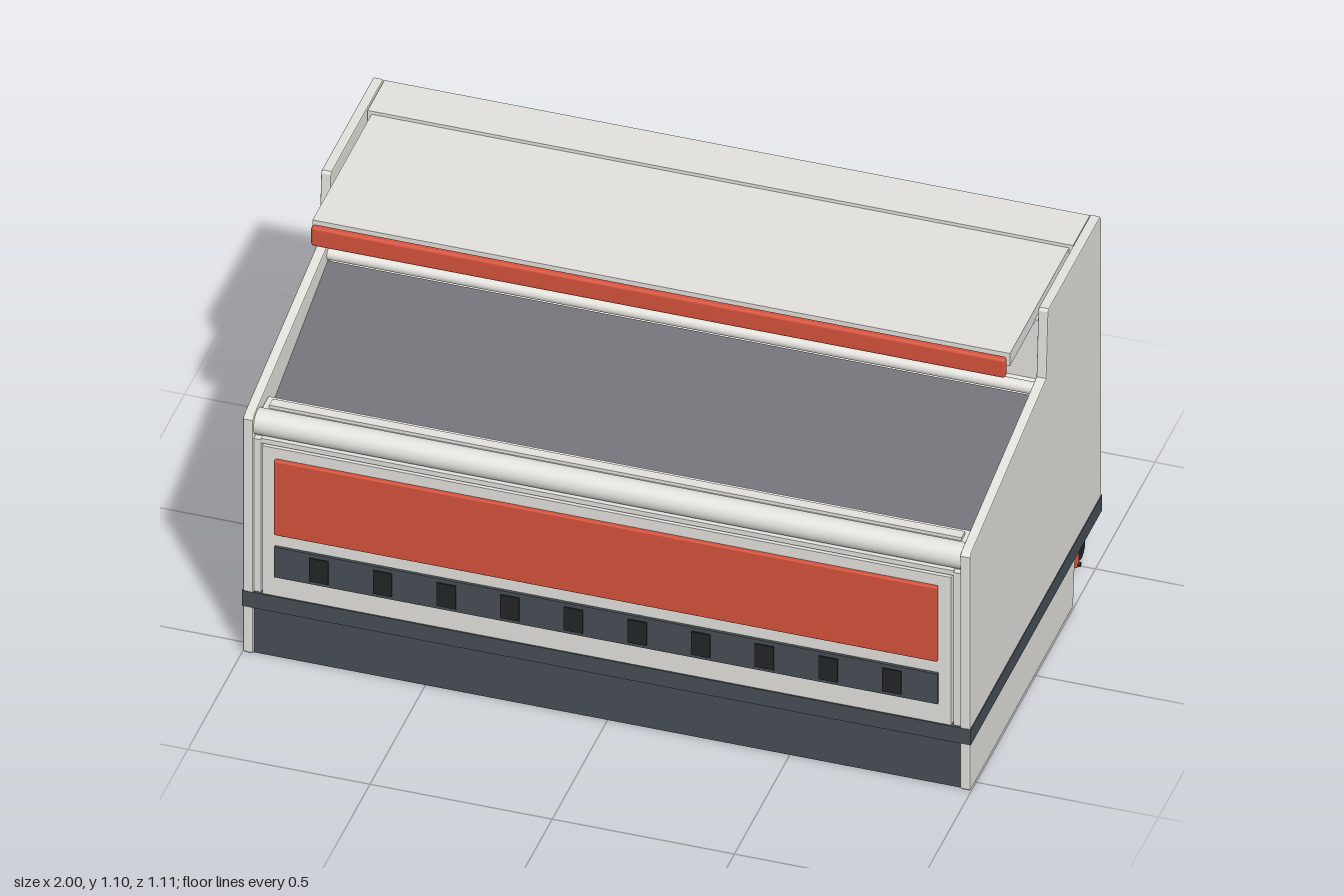
import * as THREE from 'three';
import { RoundedBoxGeometry } from 'three/addons/geometries/RoundedBoxGeometry.js';

const mat = (name, color, side = THREE.FrontSide) => {
  const m = new THREE.MeshStandardMaterial({ color, side });
  m.name = name;
  return m;
};

export function createModel() {
  const white = mat('warm white', 0xe3e1dc);
  const orange = mat('orange red', 0xd4513b);
  const slate = mat('slate', 0x464e54);
  const black = mat('black', 0x222426);
  const underGrey = mat('underside charcoal', 0x303336);
  const deckGrey = mat('deck grey', 0x727177);
  const pipeWhite = mat('pipe white', 0xe3e1dc, THREE.DoubleSide);

  const model = new THREE.Group();
  model.name = 'displayCounter';

  const add = (name, geo, material, x = 0, y = 0, z = 0) => {
    const mesh = new THREE.Mesh(geo, material);
    mesh.name = name;
    mesh.position.set(x, y, z);
    model.add(mesh);
    return mesh;
  };
  // box given by its limits on each axis
  const box = (name, material, x0, x1, y0, y1, z0, z1) =>
    add(name, new THREE.BoxGeometry(x1 - x0, y1 - y0, z1 - z0), material,
      (x0 + x1) / 2, (y0 + y1) / 2, (z0 + z1) / 2);
  const rounded = (name, material, r, x0, x1, y0, y1, z0, z1) =>
    add(name, new RoundedBoxGeometry(x1 - x0, y1 - y0, z1 - z0, 3, r), material,
      (x0 + x1) / 2, (y0 + y1) / 2, (z0 + z1) / 2);
  // rod running along x
  const rod = (name, material, r, x0, x1, y, z) =>
    add(name, new THREE.CylinderGeometry(r, r, x1 - x0, 24).rotateZ(Math.PI / 2),
      material, (x0 + x1) / 2, y, z);
  // (z, y) profile extruded along x from x0 to x1
  const profile = (points, x0, x1, bevel = 0) => {
    const shape = new THREE.Shape(points.map(([z, y]) => new THREE.Vector2(z, y)));
    return new THREE.ExtrudeGeometry(shape, {
      depth: x1 - x0 - 2 * bevel, bevelEnabled: bevel > 0, bevelSize: bevel,
      bevelThickness: bevel, bevelOffset: -bevel, bevelSegments: 2,
    }).rotateY(-Math.PI / 2).translate(x1 - bevel, 0, 0);
  };

  // Cabinet body with a sunken deck well and the hood at the back
  add('cabinetBody', profile([
    [-0.552, 0.19], [0.52, 0.19], [0.52, 0.71], [0.5, 0.745], [0.42, 0.745],
    [0.42, 0.67], [-0.09, 0.825], [-0.125, 0.86], [-0.125, 1.05], [-0.41, 1.05],
    [-0.41, 1.095], [-0.552, 1.095],
  ], -0.968, 0.968), white);

  // End panels with sloped front and rear foot cutout
  const side = [
    [0.54, 0], [0.545, 0.008], [0.545, 0.752], [0.535, 0.762], [-0.095, 0.89],
    [-0.11, 1.092], [-0.116, 1.1], [-0.548, 1.1], [-0.555, 1.093],
    [-0.555, 0.152], [-0.345, 0.145], [-0.335, 0.135], [-0.322, 0.008], [-0.314, 0],
  ];
  add('leftEndPanel', profile(side, 0.97, 0.998, 0.004), white);
  add('rightEndPanel', profile(side, -0.998, -0.97, 0.004), white);

  // Bumper band and plinth
  box('bumperBand', slate, -1, 1, 0.15, 0.2, -0.556, 0.546);
  box('underside', underGrey, -0.95, 0.95, 0.146, 0.151, -0.5, 0.51);
  box('frontKickPlate', slate, -0.97, 0.97, 0, 0.15, 0.515, 0.535);
  for (const s of [-1, 1]) {
    const a = s * 0.95, b = s * 0.972;
    box('plinthSide', slate, Math.min(a, b), Math.max(a, b), 0.002, 0.15, -0.31, 0.52);
  }
  rounded('rearKickPlate', slate, 0.006, -0.71, 0.45, 0, 0.155, -0.555, -0.537);

  // Sloped display deck and its rails
  const deckRise = 0.155, deckRun = 0.505;
  const deck = add('displayDeck',
    new THREE.BoxGeometry(1.94, 0.012, Math.hypot(deckRun, deckRise)),
    deckGrey, 0, 0.753, 0.168);
  deck.rotation.x = Math.atan2(deckRise, deckRun);
  rod('rearDeckRail', white, 0.017, -0.97, 0.97, 0.855, -0.09);
  rod('frontRail', white, 0.036, -0.97, 0.97, 0.725, 0.505);
  box('frontDeckTrim', white, -0.95, 0.95, 0.74, 0.755, 0.44, 0.47);

  // Front panel, surrounding trim and colour plates
  for (const s of [-1, 1])
    box('frontSideTrim', white, s * 0.96 - 0.01, s * 0.96 + 0.01, 0.2, 0.69, 0.51, 0.538);
  box('frontTopTrim', white, -0.95, 0.95, 0.68, 0.695, 0.51, 0.538);
  box('frontPanel', white, -0.945, 0.945, 0.2, 0.675, 0.51, 0.542);
  rounded('frontColourPanel', orange, 0.004, -0.91, 0.91, 0.403, 0.642, 0.54, 0.555);
  box('ventStrip', slate, -0.91, 0.91, 0.265, 0.362, 0.541, 0.55);
  for (let i = 0; i < 10; i++) {
    const x = -0.787 + i * 0.1747;
    box('ventSlot', black, x - 0.026, x + 0.026, 0.276, 0.35, 0.545, 0.554);
  }

  // Stepped canopy with coloured edge
  box('canopyTop', white, -0.957, 0.957, 1.045, 1.085, -0.41, 0.085);
  box('canopyEdgeTongue', white, -0.945, 0.945, 1.057, 1.07, 0.08, 0.1);
  box('canopyUnderside', white, -0.945, 0.945, 1.022, 1.045, -0.13, 0.055);
  rounded('canopyEdge', orange, 0.009, -0.953, 0.953, 1.022, 1.083, 0.094, 0.116);

  // Drain trap under the right rear corner
  const drain = new THREE.CurvePath();
  const v = (y, z) => new THREE.Vector3(-0.86, y, z);
  const segment = (...p) => drain.add(p.length === 2
    ? new THREE.LineCurve3(...p) : new THREE.CubicBezierCurve3(...p));
  segment(v(0.148, -0.353), v(0.07, -0.353));
  segment(v(0.07, -0.353), v(0.022, -0.353), v(0.022, -0.412), v(0.065, -0.412));
  segment(v(0.065, -0.412), v(0.095, -0.412), v(0.103, -0.425), v(0.103, -0.45));
  segment(v(0.103, -0.45), v(0.103, -0.545));
  add('drainTrap', new THREE.TubeGeometry(drain, 60, 0.026, 16), pipeWhite);
  add('drainCollar', new THREE.CylinderGeometry(0.031, 0.031, 0.027, 20), slate, -0.86, 0.118, -0.353);
  add('outletCollar', new THREE.CylinderGeometry(0.037, 0.037, 0.03, 20).rotateX(Math.PI / 2),
    slate, -0.86, 0.103, -0.53);
  add('outletOpening', new THREE.CylinderGeometry(0.026, 0.026, 0.004, 20).rotateX(Math.PI / 2),
    black, -0.86, 0.103, -0.545);

  // Service unit under the left rear corner
  rod('serviceCylinder', black, 0.031, 0.57, 0.965, 0.063, -0.49);
  rounded('serviceHousing', black, 0.008, 0.58, 0.96, 0.07, 0.152, -0.521, -0.459);
  box('serviceBracket', black, 0.6, 0.93, 0.1, 0.13, -0.46, -0.43);
  rounded('serviceHandle', orange, 0.009, 0.56, 0.98, 0.052, 0.15, -0.433, -0.412);
  rod('handlePin', black, 0.007, 0.555, 0.985, 0.064, -0.4225);

  return model;
}
